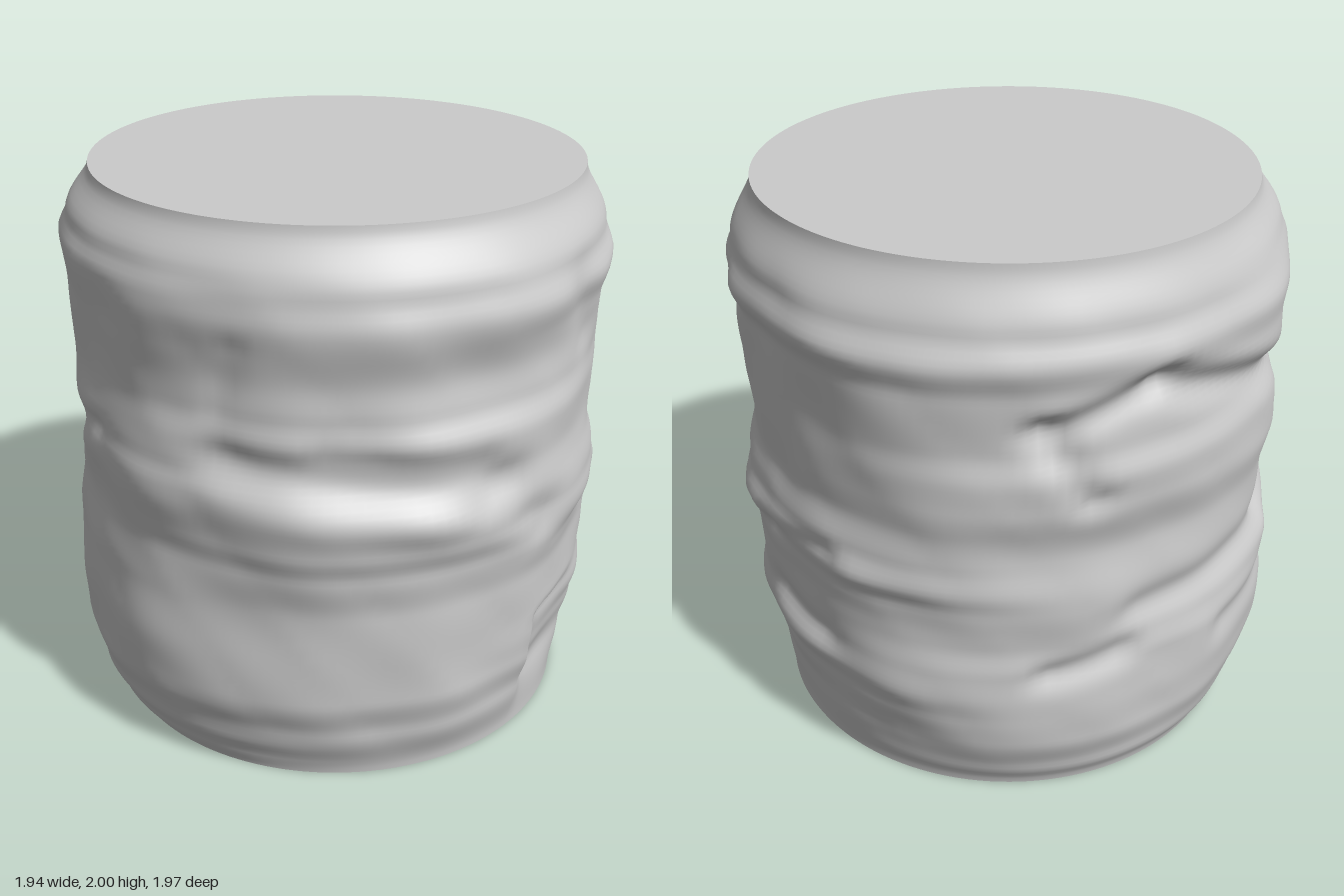
import * as THREE from 'three';

const COLS = 144, ROWS = 100, RAD = Math.PI / 180;
const mat = new THREE.MeshStandardMaterial({ color: 0xcccccc });

// Radius against height on the four sides, counted from the front towards +x
const SIDES = [
  [[0, .83], [.2, .88], [.35, .915], [.7, .915], [.85, .94], [.95, .965], [1.05, .975], [1.18, .95], [1.3, .955], [1.4, .92], [1.5, .91], [1.7, .95], [1.8, .925], [2, .83]],
  [[0, .85], [.2, .87], [.35, .9], [.45, .93], [.55, .915], [.7, .92], [.8, .93], [.88, .97], [.97, .94], [1.1, .905], [1.3, .91], [1.6, .93], [1.7, .965], [1.8, .93], [2, .85]],
  [[0, .87], [.1, .91], [.25, .945], [.4, .955], [.55, .955], [.65, .93], [.8, .935], [1, .92], [1.2, .965], [1.3, .97], [1.4, .945], [1.6, .95], [1.7, .965], [1.8, .93], [2, .87]],
  [[0, .85], [.05, .885], [.15, .93], [.3, .97], [.5, .98], [.7, .965], [.9, .935], [1.13, .955], [1.2, .94], [1.35, .925], [1.6, .945], [1.77, .96], [1.85, .93], [2, .85]],
];

// Cracks and ledges: [angle1, y1, angle2, y2, width, groove depth, step]
// A positive step pushes the rock out above the line and in below it.
const CRACKS = [
  [-40, 1.2, 18, 1.08, .09, .015, -.035],
  [-20, 1.3, 12, 1.22, .06, .02, 0],
  [14, 1.03, 28, .9, .09, .02, -.02],
  [-42, 1.42, -38, 1.62, .05, .012, 0],
  [62, 1.66, 76, 1.7, .07, .02, .015],
  [60, .85, 72, .92, .07, .02, 0],
  [90, .87, 112, .92, .05, .022, .015],
  [90, .52, 108, .5, .06, .015, -.015],
  [40, 1.7, 46, 1.5, .09, .022, 0],
  [158, 1.5, 168, 1.25, .06, .025, .02],
  [160, 1.5, 182, 1.62, .06, .025, .02],
  [182, 1.6, 234, 1.38, .07, .025, .03],
  [254, 1.1, 282, 1.2, .06, .02, .02],
  [160, .56, 176, .6, .06, .03, .02],
  [180, .7, 228, .74, .08, .015, -.025],
  [228, .74, 262, 1.0, .08, .01, -.025],
  [205, .52, 235, .56, .07, .018, .01],
];

const smooth = (a, b, x) => THREE.MathUtils.smoothstep(x, a, b);

function profile(points, y) {
  let i = 0;
  while (i < points.length - 2 && y > points[i + 1][0]) i++;
  const [y0, r0] = points[i], [y1, r1] = points[i + 1];
  return r0 + (r1 - r0) * smooth(y0, y1, y);
}

function crack([a1, y1, a2, y2, width, depth, step], deg, y) {
  const mid = (a1 + a2) / 2;
  const d = ((deg - mid + 540) % 360 + 360) % 360 - 180;
  const arc = .93 * RAD;
  const ux = (a2 - a1) * arc, uy = y2 - y1;
  const px = (d - (a1 - mid)) * arc, py = y - y1;
  const t = THREE.MathUtils.clamp((px * ux + py * uy) / (ux * ux + uy * uy), 0, 1);
  const dx = px - ux * t, dy = py - uy * t;
  const fall = Math.exp(-(dx * dx + dy * dy) / (width * width));
  return fall * (-depth + step * 1.6 * dy / width);
}

function radius(deg, y) {
  // Blend the side profiles around the block
  const q = deg / 90, k = Math.floor(q) % 4, f = q - Math.floor(q);
  const s = f * f * (3 - 2 * f);
  let r = profile(SIDES[k], y) * (1 - s) + profile(SIDES[(k + 1) % 4], y) * s;
  const a = deg * RAD, fade = smooth(0, .3, y) * smooth(0, .3, 2 - y);
  const diagonal = Math.sin(2 * a) ** 2;
  r += diagonal * fade * (Math.cos(a) < 0 ? .02 : -.005);
  // Gentle weathering and chipped facets
  let n = .008 * Math.sin(5 * a + 3 * y) * Math.sin(4.1 * y + 2 * Math.sin(3 * a));
  n += .006 * Math.sin(9 * a - 5 * y + 1) * Math.sin(7 * y + 3 * Math.sin(2 * a));
  n += .004 * Math.abs(Math.sin(8 * a + 6 * y)) * Math.sin(11 * y + 4 * a);
  for (const c of CRACKS) n += crack(c, deg, y);
  // Squared notch low on the front corner
  n -= .045 * smooth(31, 34, deg) * (1 - smooth(40, 62, deg)) * (1 - smooth(.48, .55, y));
  return r + n * fade;
}

function createModel() {
  const group = new THREE.Group();
  const positions = [], index = [];
  for (let j = 0; j <= ROWS; j++) {
    const y = 2 * j / ROWS;
    for (let i = 0; i < COLS; i++) {
      const deg = 360 * i / COLS, r = radius(deg, y);
      positions.push(r * Math.sin(deg * RAD), y, r * Math.cos(deg * RAD));
      if (j < ROWS) {
        const a = j * COLS + i, b = j * COLS + (i + 1) % COLS;
        index.push(a, b, b + COLS, a, b + COLS, a + COLS);
      }
    }
  }
  const side = new THREE.BufferGeometry();
  side.setAttribute('position', new THREE.Float32BufferAttribute(positions, 3));
  side.setIndex(index);
  side.computeVertexNormals();
  const wall = new THREE.Mesh(side, mat);
  wall.name = 'rockWall';
  group.add(wall);

  // Flat cut faces at both ends
  for (const [name, y, turn] of [['topFace', 2, -1], ['bottomFace', 0, 1]]) {
    const shape = new THREE.Shape();
    for (let i = 0; i < COLS; i++) {
      const deg = 360 * i / COLS, r = radius(deg, y);
      const x = r * Math.sin(deg * RAD), v = turn * r * Math.cos(deg * RAD);
      if (i) shape.lineTo(x, v); else shape.moveTo(x, v);
    }
    const cap = new THREE.Mesh(new THREE.ShapeGeometry(shape), mat);
    cap.rotation.x = turn * Math.PI / 2;
    cap.position.y = y;
    cap.name = name;
    group.add(cap);
  }
  return group;
}

export { createModel };
